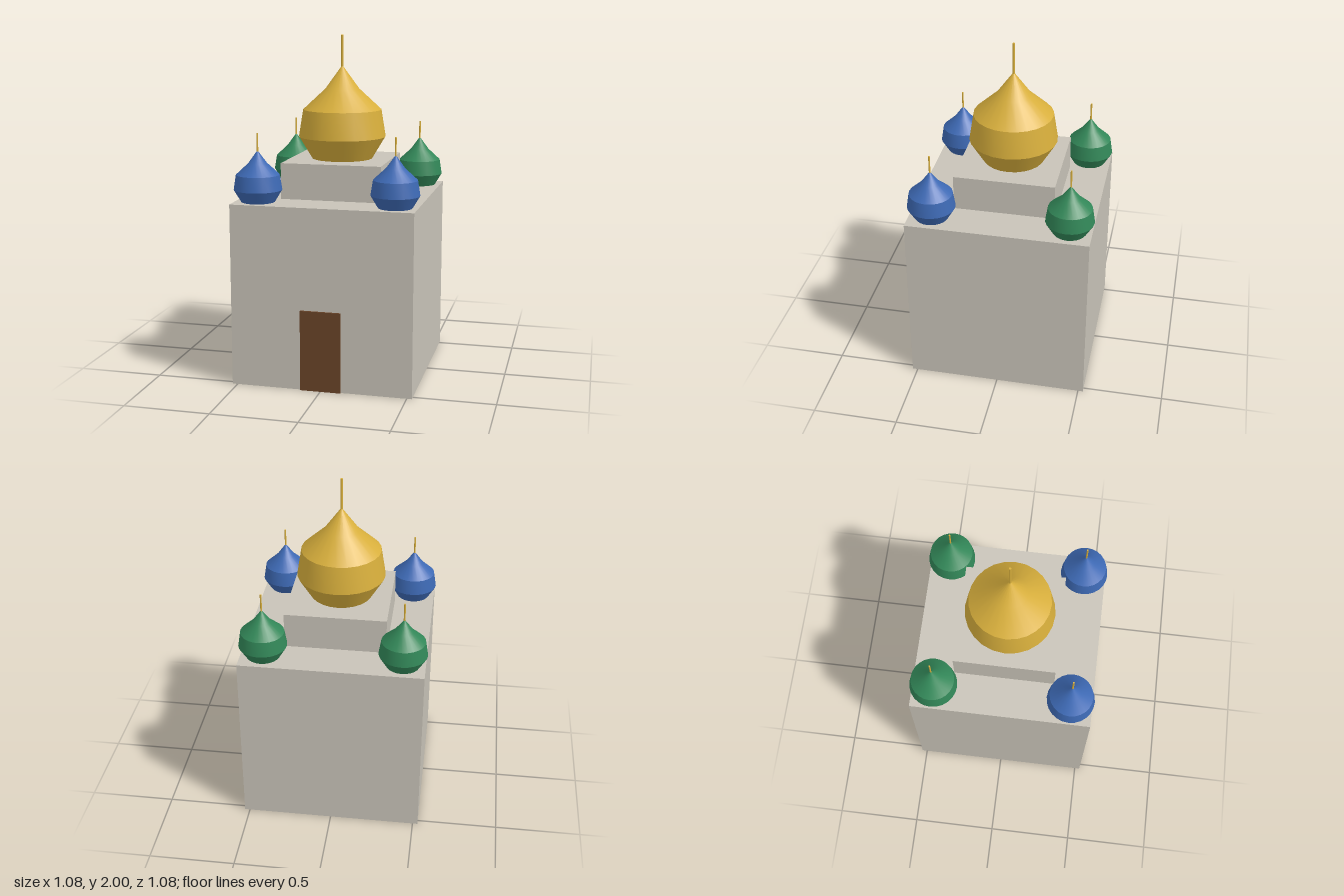
import * as THREE from 'three';
import { toCreasedNormals } from 'three/addons/utils/BufferGeometryUtils.js';

const material = (name, color) => {
  const m = new THREE.MeshStandardMaterial({ color });
  m.name = name;
  return m;
};

// Onion profile (radius, height), from the neck up to the tip
const ONION = [[0, 0], [0.18, 0], [0.258, 0.13], [0.232, 0.29], [0.1, 0.412], [0, 0.55]];

export function createModel() {
  const stone = material('stone', 0xc8c3b8);
  const gold = material('gold', 0xd8af3c);
  const blue = material('blue', 0x3d69b4);
  const green = material('green', 0x328758);
  const wood = material('wood', 0x6a4428);

  const model = new THREE.Group();
  model.name = 'domedChurch';

  const add = (parent, name, geometry, mat, x, y, z) => {
    const mesh = new THREE.Mesh(geometry, mat);
    mesh.name = name;
    mesh.position.set(x, y, z);
    parent.add(mesh);
  };

  // Onion dome with a thin spire on its tip
  const addDome = (name, mat, x, y, z, scale, spireRadius, spireTop) => {
    const dome = new THREE.Group();
    dome.name = name;
    dome.position.set(x, y, z);
    const points = ONION.map(([r, h]) => new THREE.Vector2(r * scale, h * scale));
    const onion = toCreasedNormals(new THREE.LatheGeometry(points, 24), 0.6);
    add(dome, name + 'Onion', onion, mat, 0, 0, 0);
    const start = 0.53 * scale;
    const height = spireTop - y - start;
    add(dome, name + 'Spire', new THREE.CylinderGeometry(spireRadius, spireRadius, height, 8),
      gold, 0, start + height / 2, 0);
    model.add(dome);
  };

  // Main block, raised roof block and door
  add(model, 'walls', new THREE.BoxGeometry(1.06, 1.065, 1.06), stone, 0, 0.5325, 0);
  add(model, 'roofBlock', new THREE.BoxGeometry(0.59, 0.21, 0.59), stone, 0, 1.17, 0);
  add(model, 'door', new THREE.BoxGeometry(0.236, 0.472, 0.02), wood, 0, 0.236, 0.531);

  // Central dome and four corner domes, blue in front and green behind
  addDome('centralDome', gold, 0, 1.275, 0, 1, 0.007, 2);
  for (const x of [-0.4, 0.4]) {
    const side = x > 0 ? 'Left' : 'Right';
    addDome('front' + side + 'Dome', blue, x, 1.065, 0.4, 0.54, 0.005, 1.46);
    addDome('back' + side + 'Dome', green, x, 1.065, -0.4, 0.54, 0.005, 1.46);
  }
  return model;
}
